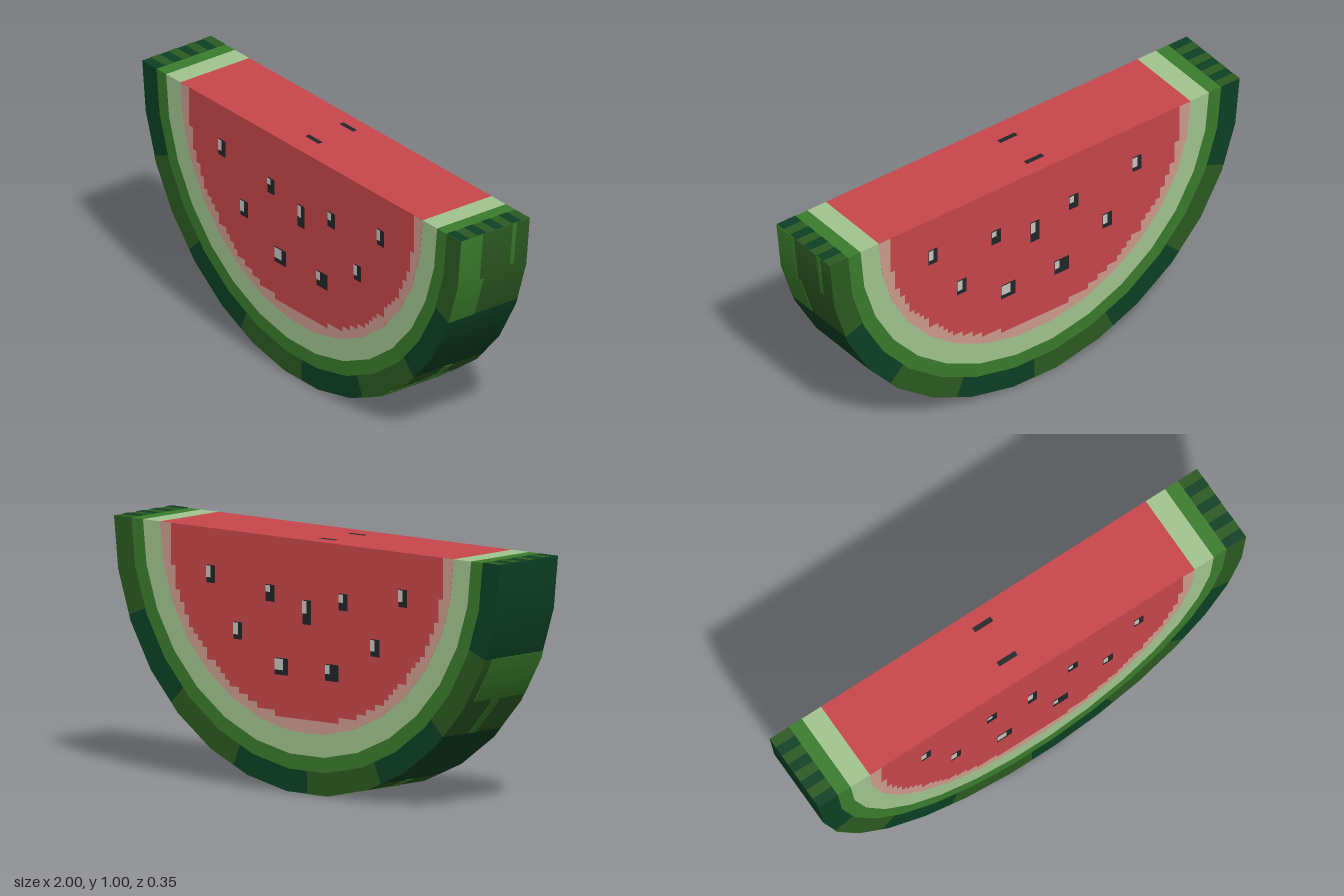
import * as THREE from 'three';

const D = 0.17;                 // half thickness of the slice
const RAD = Math.PI / 180;
const STEP = 12;                // degrees per rim facet

const mat = (name, color) => {
  const m = new THREE.MeshStandardMaterial({ color });
  m.name = name;
  return m;
};

// Point on the faceted half disc; the angle runs from +x down and round to -x
function point(deg, r) {
  const k = Math.cos(6 * RAD) / Math.cos(((deg % STEP) - 6) * RAD);
  return new THREE.Vector2(r * k * Math.cos(deg * RAD), 1 - r * k * Math.sin(deg * RAD));
}

function arc(a0, a1, r) {
  const pts = [point(a0, r)];
  for (let a = (Math.floor(a0 / STEP) + 1) * STEP; a < a1; a += STEP) pts.push(point(a, r));
  pts.push(point(a1, r));
  return pts;
}

// Extruded ring sector with smooth normals on its outer rim
function sector(a0, a1, rIn, rOut, z0 = -D, z1 = D) {
  const inner = rIn > 0 ? arc(a0, a1, rIn).reverse() : [];
  const shape = new THREE.Shape([...arc(a0, a1, rOut), ...inner]);
  const geo = new THREE.ExtrudeGeometry(shape, { depth: z1 - z0, bevelEnabled: false });
  geo.translate(0, 0, z0);
  const p = geo.attributes.position, n = geo.attributes.normal;
  for (let i = 0; i < p.count; i++) {
    const x = p.getX(i), y = p.getY(i) - 1, len = Math.hypot(x, y) || 1;
    if ((n.getX(i) * x + n.getY(i) * y) / len > 0.9) n.setXYZ(i, x / len, y / len, 0);
  }
  return geo;
}

// Stair-stepped half disc outline, used as the inner edge of the pink band
function steppedOutline(r, cell) {
  const right = [];
  const rows = Math.floor(r / cell);
  for (let i = 0; i < rows; i++) {
    const w = Math.round(Math.sqrt(r * r - ((i + 0.5) * cell) ** 2) / cell) * cell;
    right.push(new THREE.Vector2(w, 1 - i * cell), new THREE.Vector2(w, 1 - (i + 1) * cell));
  }
  return [...right, ...right.map((v) => new THREE.Vector2(-v.x, v.y)).reverse()];
}

export function createModel() {
  const group = new THREE.Group();
  group.name = 'fruitSlice';
  const red = mat('fleshRed', 0xc8464b);
  const pink = mat('fleshPink', 0xcf9c8e);
  const pale = mat('paleRind', 0xa2c490);
  const green = mat('midGreen', 0x3a7c2c);
  const olive = mat('oliveGreen', 0x2c5a22);
  const dark = mat('darkGreen', 0x0d4024);
  const seedDark = mat('seedBlack', 0x22262a);
  const seedLight = mat('seedHighlight', 0xc6c6be);

  const add = (parent, name, geo, material) => {
    const mesh = new THREE.Mesh(geo, material);
    mesh.name = name;
    parent.add(mesh);
    return mesh;
  };

  // Flesh and inner rind layers
  add(group, 'flesh', sector(0, 180, 0, 0.76), red);
  add(group, 'paleRind', sector(0, 180, 0.76, 0.85), pale);
  add(group, 'greenRind', sector(0, 180, 0.85, 0.91), green);

  // Striped outer skin
  for (let i = 0; i < 8; i++) {
    add(group, 'skinStripe', sector(i * 22.5, (i + 1) * 22.5, 0.91, 1), i % 2 ? dark : olive);
  }

  // Lighter patches on the olive skin: start angle, end angle, z from, z to
  const patches = [
    [0, 12, 0.062, D], [12, 22.5, 0.043, D], [0, 10.5, -0.105, -0.086],
    [45, 56, -0.02, 0.02], [56, 67.5, -0.128, D],
    [90, 101, -D, 0.128], [101, 112.5, -0.02, 0.02],
    [135, 146, -0.02, 0.02], [146, 157.5, -0.128, D],
  ];
  for (const [a0, a1, z0, z1] of patches) {
    add(group, 'skinPatch', sector(a0, a1, 1, 1.002, z0, z1), green);
  }

  // Thin bands across the cut ends of the skin
  const topPlate = (name, x, z, w, d, material) => {
    const geo = new THREE.PlaneGeometry(w, d).rotateX(-Math.PI / 2);
    add(group, name, geo, material).position.set(x, 1.002, z);
  };
  const band = D / 4;
  for (let i = 0; i < 4; i++) {
    const z = -D + (2 * i + 0.5) * band;
    topPlate('endBand', -0.955, z, 0.09, band, olive);
    topPlate('endBand', 0.955, z + band, 0.09, band, dark);
  }
  // Seeds showing on the top cut
  for (const z of [-0.1, 0.07]) topPlate('topSeed', -0.05, z, 0.085, 0.021, seedDark);

  // Seeds: left, top, width, height, highlight width, highlight height
  const seeds = [
    [-0.52, 0.855, 0.045, 0.07, 0.023, 0.046],
    [-0.212, 0.808, 0.046, 0.066, 0.023, 0.026],
    [-0.022, 0.765, 0.044, 0.096, 0.022, 0.05],
    [0.166, 0.808, 0.046, 0.066, 0.023, 0.032],
    [0.475, 0.855, 0.045, 0.07, 0.023, 0.046],
    [-0.38, 0.645, 0.046, 0.068, 0.025, 0.046],
    [0.33, 0.645, 0.046, 0.068, 0.023, 0.044],
    [-0.166, 0.525, 0.07, 0.066, 0.044, 0.044],
    [0.096, 0.525, 0.07, 0.066, 0.023, 0.036],
  ];

  // Painted details of one cut face, repeated turned round for the back
  for (const turn of [0, Math.PI]) {
    const face = new THREE.Group();
    face.name = turn ? 'backFace' : 'frontFace';
    face.rotation.y = turn;
    group.add(face);

    const outline = [...arc(0, 180, 0.76), ...steppedOutline(0.715, 0.0235).reverse()];
    const rim = new THREE.ShapeGeometry(new THREE.Shape(outline));
    add(face, 'pinkBand', rim, pink).position.z = D + 0.001;

    for (const [x, y, w, h, hw, hh] of seeds) {
      add(face, 'seed', new THREE.PlaneGeometry(w, h), seedDark)
        .position.set(x + w / 2, y - h / 2, D + 0.002);
      add(face, 'seedHighlight', new THREE.PlaneGeometry(hw, hh), seedLight)
        .position.set(x + hw / 2, y - hh / 2 - 0.003, D + 0.004);
    }
  }
  return group;
}
